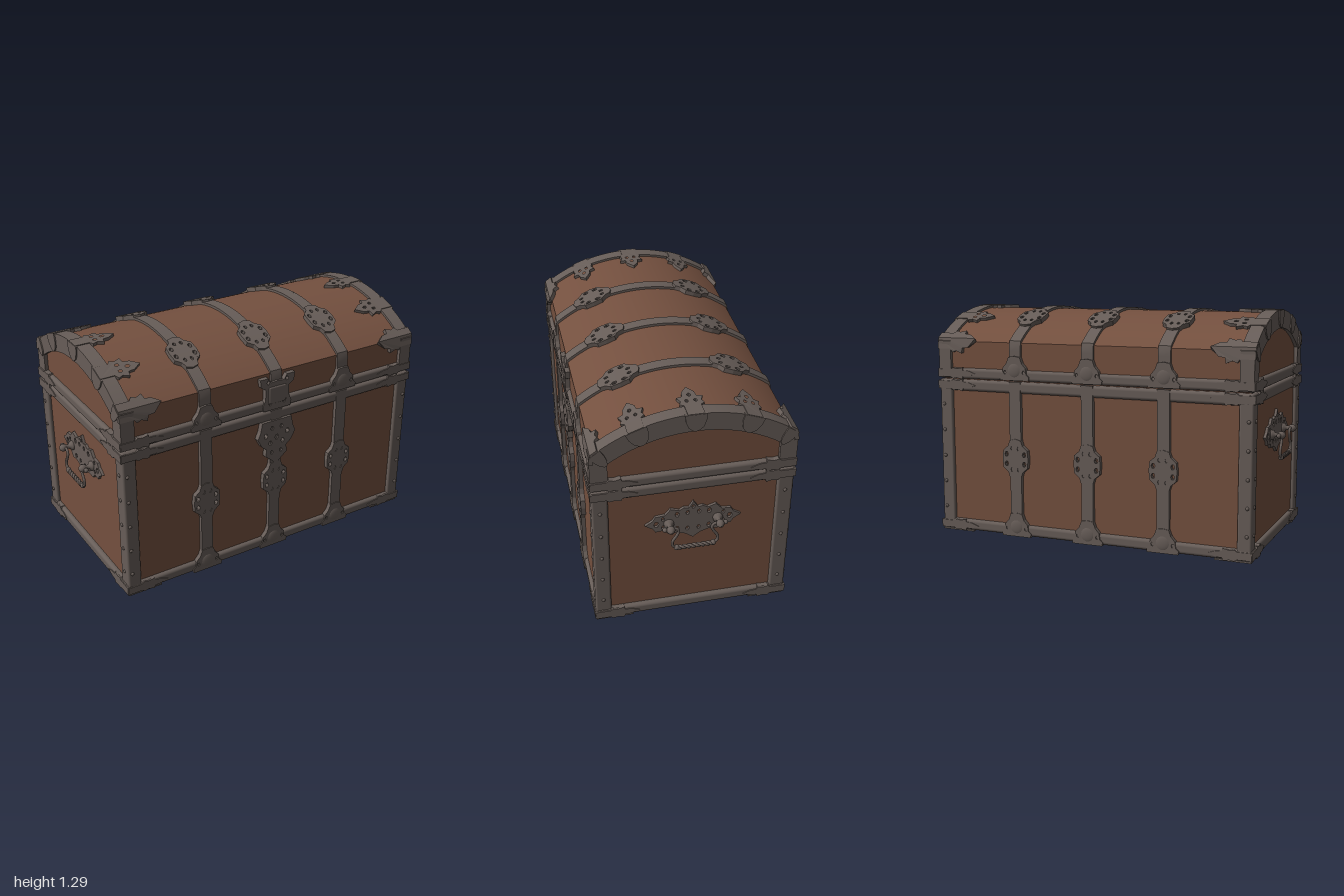
import * as THREE from 'three';
import { toCreasedNormals } from 'three/addons/utils/BufferGeometryUtils.js';
import { RoundedBoxGeometry } from 'three/addons/geometries/RoundedBoxGeometry.js';

const wood = new THREE.MeshStandardMaterial({ color: 0x74503f });
wood.name = 'brown wood';
const iron = new THREE.MeshStandardMaterial({ color: 0x675d58 });
iron.name = 'grey iron';

// Chest profile: a vertical side up to SHOULDER, then an arc of radius R around height CY
const DEPTH = 0.51, R = 0.84, CY = 0.433, SHOULDER = 1.1;
const A1 = Math.asin(DEPTH / R);
const TOP = SHOULDER + R * A1;
const arcS = (a) => SHOULDER + R * (A1 - a);

function add(parent, name, geo, mat = iron, x = 0, y = 0, z = 0) {
  const m = new THREE.Mesh(geo, mat);
  m.name = name;
  m.position.set(x, y, z);
  parent.add(m);
  return m;
}

// Wrap (x, distance along profile, height above surface) onto the front and lid
function bend(geo) {
  const p = geo.attributes.position;
  for (let i = 0; i < p.count; i++) {
    const s = p.getY(i), h = p.getZ(i);
    if (s <= SHOULDER) p.setXYZ(i, p.getX(i), s, DEPTH + h);
    else {
      const a = A1 - (s - SHOULDER) / R;
      p.setXYZ(i, p.getX(i), CY + (R + h) * Math.cos(a), (R + h) * Math.sin(a));
    }
  }
  geo.computeVertexNormals();
  return geo;
}

// Plate between heights h0 and h1, with outline points placed by map
function slab(outline, holes, h0, h1, map) {
  const v = ([x, y]) => new THREE.Vector2(...map(x, y));
  const shape = new THREE.Shape(outline.map(v));
  for (const ring of holes) shape.holes.push(new THREE.Path(ring.map(v)));
  const g = new THREE.ExtrudeGeometry(shape, { depth: h1 - h0, bevelEnabled: false });
  return g.translate(0, 0, h0);
}

// Symmetric plate from half an outline, with small six-sided piercings [x, y, r]
function plate(half, piercings, h0, h1, map = (x, y) => [x, y]) {
  const other = half.filter(([x]) => x > 0).reverse().map(([x, y]) => [-x, y]);
  const holes = [];
  for (const [hx, hy, r] of piercings) for (const sx of hx ? [1, -1] : [1]) {
    holes.push([0, 1, 2, 3, 4, 5].map((i) => {
      const a = i * Math.PI / 3;
      return [sx * hx + r * Math.cos(a), hy + 1.4 * r * Math.sin(a)];
    }));
  }
  return slab([...half, ...other], holes, h0, h1, map);
}

// Half outlines
const LEAF = [[0.042, 0], [0.042, 0.08], [0.062, 0.095], [0.052, 0.12], [0.066, 0.155], [0.036, 0.16], [0.032, 0.195], [0, 0.24]];
const MEDAL = [[0, 0.115], [0.035, 0.105], [0.045, 0.075], [0.075, 0.05], [0.08, 0], [0.075, -0.05], [0.045, -0.075], [0.035, -0.105], [0, -0.115]];
const FOOT = [[0, 0.14], [0.035, 0.135], [0.048, 0.1], [0.07, 0.075], [0.075, 0.04], [0.092, 0.025], [0.088, 0.004], [0, 0.004]];
const LOCK = [[0, 0.825], [0.095, 0.825], [0.105, 0.77], [0.122, 0.73], [0.095, 0.68], [0.065, 0.655], [0.068, 0.61], [0.035, 0.585], [0, 0.55]];
const HASP = [[0, 1.06], [0.04, 1.055], [0.06, 1.085], [0.11, 1.085], [0.105, 1.04], [0.075, 1.02], [0.075, 0.96], [0.092, 0.92], [0.085, 0.892], [0, 0.892]];
const CLAW = [[0, 0], [0.056, 0], [0.052, -0.04], [0.038, -0.075], [0.015, -0.095], [0, -0.098]];
const ESCUTCHEON = [[0, 0.125], [0.025, 0.085], [0.05, 0.09], [0.075, 0.075], [0.12, 0.09], [0.15, 0.055], [0.2, 0.05], [0.215, 0.025], [0.255, 0],
  [0.215, -0.025], [0.2, -0.05], [0.155, -0.045], [0.13, -0.075], [0.085, -0.07], [0.04, -0.085], [0, -0.115]];

const rivetGeo = new THREE.SphereGeometry(0.01, 10, 8).scale(1, 1, 0.8);
const LEAF_HOLES = [[0.022, 0.12, 0.009], [0, 0.17, 0.01]];

function bands(g) {
  // Half-round rims round the foot, the body mouth and the lid mouth
  for (const [name, y0, y1] of [['footRim', 0.008, 0.07], ['bodyRim', 0.82, 0.885], ['lidRim', 0.889, 0.95]]) {
    const h = y1 - y0, y = (y0 + y1) / 2;
    for (const s of [1, -1]) {
      add(g, name, new RoundedBoxGeometry(1.86, h, 0.06, 4, 0.018), iron, 0, y, s * 0.5);
      add(g, name, new RoundedBoxGeometry(0.06, h, 1.06, 4, 0.018), iron, s * 0.9, y, 0);
    }
  }
  // Corner posts and plates under the base
  for (const sx of [1, -1]) for (const sz of [1, -1]) {
    add(g, 'cornerPost', new RoundedBoxGeometry(0.078, 0.82, 0.086, 3, 0.012), iron, sx * 0.886, 0.43, sz * 0.485);
    const c = new THREE.Shape();
    c.moveTo(0, 0);
    c.lineTo(0.2, 0);
    c.quadraticCurveTo(0.2, 0.06, 0.15, 0.1);
    c.quadraticCurveTo(0.14, 0.14, 0.1, 0.15);
    c.quadraticCurveTo(0.06, 0.2, 0, 0.2);
    const geo = new THREE.ExtrudeGeometry(c, { depth: 0.009, bevelEnabled: false, curveSegments: 6 });
    geo.rotateX(Math.PI / 2).rotateY(sx > 0 ? (sz > 0 ? Math.PI : -Math.PI / 2) : (sz > 0 ? Math.PI / 2 : 0));
    add(g, 'baseCornerPlate', geo, iron, sx * 0.925, 0.009, sz * 0.525);
  }
}

function face(g, isFront) {
  // Straps running from the foot over the lid, with pierced ornaments
  for (const x of [-0.44, 0, 0.44]) {
    for (const [s0, s1, h] of [[0.003, 0.885, 0.022], [0.889, TOP + 0.001, 0.014]]) {
      const strap = new THREE.BoxGeometry(0.07, s1 - s0, h, 1, 32, 1).translate(x, (s0 + s1) / 2, h / 2);
      add(g, 'strap', toCreasedNormals(bend(strap), 0.7));
    }
    const at = (dy) => (px, py) => [x + px, dy + py];
    const medalHoles = [[0.055, 0.027, 0.011], [0.055, -0.027, 0.011], [0.02, 0.06, 0.009], [0.02, -0.06, 0.009]];
    for (const s of [0.45, arcS(0.355)]) {
      add(g, 'strapOrnament', bend(plate(MEDAL, medalHoles, 0, 0.026, at(s))));
    }
    const footHoles = [[0.058, 0.05, 0.008]];
    add(g, 'strapFoot', bend(plate(FOOT, footHoles, 0, 0.026, at(0))));
    const bossGeo = new THREE.SphereGeometry(0.045, 16, 10).scale(1, 1, 0.25);
    add(g, 'footBoss', bossGeo, iron, x, 0.06, 0.53);
    if (x === 0 && isFront) {
      const lockHoles = [[0.07, 0.74, 0.012], [0.03, 0.78, 0.01], [0.04, 0.69, 0.011], [0.03, 0.63, 0.009], [0, 0.72, 0.012]];
      add(g, 'lockPlate', bend(plate(LOCK, lockHoles, 0, 0.03)));
      add(g, 'hasp', bend(plate(HASP, [[0.045, 0.93, 0.008], [0.06, 1.06, 0.009]], 0, 0.026)));
      add(g, 'haspBar', new RoundedBoxGeometry(0.11, 0.1, 0.02, 3, 0.008), iron, 0, 0.98, 0.532);
    } else {
      add(g, 'lidOrnament', bend(plate(FOOT, footHoles, 0, 0.026, at(0.889))));
      add(g, 'lidBoss', bossGeo, iron, x, 0.95, 0.53);
    }
  }
  for (const sx of [1, -1]) {
    // Leaf clasps reaching in from the lid ends
    for (const s of isFront ? [arcS(0.355), TOP] : [arcS(0.355)]) {
      add(g, 'lidLeaf', bend(plate(LEAF, LEAF_HOLES, 0, 0.017, (px, py) => [sx * (0.93 - py), s + px])));
    }
    // Leaf folded over the lid shoulder, one half on each side of the fold
    for (const up of [1, -1]) {
      add(g, 'shoulderLeaf', bend(slab([[0, 0], ...LEAF], [], 0, 0.024, (px, py) => [sx * (0.93 - py), SHOULDER + up * px])));
    }
    // Smaller leaves on the rims, rivets on the posts
    for (const y of [0.036, 0.853, 0.92]) {
      add(g, 'rimLeaf', plate(LEAF, [], 0.505, 0.534, (px, py) => [sx * (0.93 - py), y + px * 0.5]));
    }
    for (let i = 0; i < 5; i++) add(g, 'rivet', rivetGeo, iron, sx * 0.9, 0.14 + i * 0.15, 0.528);
  }
}

// Built facing +z, then turned to the chest end
function end(g) {
  // Claws folded over the arched lid frame
  for (const a of [-0.63, -0.355, 0, 0.355, 0.63]) {
    const claw = add(g, 'lidClaw', plate(CLAW, [], 0.915, 0.932, (x, y) => [x * (Math.abs(a) > 0.5 ? 0.6 : 1), y + 0.853]), iron, 0, CY, 0);
    claw.rotation.z = a;
  }
  for (const s of [1, -1]) {
    for (const y of [0.036, 0.853, 0.92]) {
      add(g, 'rimLeaf', plate(LEAF, [], 0.9, 0.934, (px, py) => [s * (0.53 - py), y + px * 0.55]));
    }
    for (let i = 0; i < 5; i++) add(g, 'rivet', rivetGeo, iron, s * 0.485, 0.14 + i * 0.15, 0.925);
  }
  // Pierced plate behind the handle
  const holes = [[0.195, 0, 0.014], [0.16, 0.03, 0.009], [0.16, -0.025, 0.009], [0.085, 0.05, 0.012], [0.085, -0.045, 0.012], [0.03, 0.055, 0.01], [0.03, -0.05, 0.01], [0, 0.09, 0.009]];
  add(g, 'handlePlate', plate(ESCUTCHEON, holes, 0.9, 0.92), iron, 0, 0.615, 0);
  // Turned knobs
  const knob = [[0.027, 0], [0.027, 0.012], [0.012, 0.02], [0.012, 0.035], [0.02, 0.045], [0.022, 0.06], [0.014, 0.073], [0, 0.08]]
    .map(([x, y]) => new THREE.Vector2(x, y));
  const knobGeo = new THREE.LatheGeometry(knob, 16).rotateX(Math.PI / 2);
  for (const s of [1, -1]) {
    add(g, 'handleKnob', knobGeo, iron, s * 0.13, 0.615, 0.92);
    add(g, 'handleFinial', new THREE.SphereGeometry(0.013, 12, 8), iron, s * 0.16, 0.615, 0.968);
    const arm = new THREE.CatmullRomCurve3([[0.16, 0.615], [0.1, 0.615], [0.088, 0.595], [0.1, 0.565], [0.12, 0.53], [0.117, 0.5], [0.098, 0.487]]
      .map(([x, y]) => new THREE.Vector3(s * x, y, 0.968)));
    add(g, 'handleArm', new THREE.TubeGeometry(arm, 28, 0.008, 8));
    add(g, 'handleCollar', new THREE.SphereGeometry(0.015, 12, 8), iron, s * 0.098, 0.487, 0.968);
  }
  // Twisted grip of two strands
  for (const phase of [0, Math.PI]) {
    const pts = [];
    for (let i = 0; i <= 48; i++) {
      const t = i / 48, a = t * Math.PI * 8 + phase;
      pts.push(new THREE.Vector3(-0.1 + 0.2 * t, 0.484 + 0.006 * Math.cos(a), 0.968 + 0.006 * Math.sin(a)));
    }
    add(g, 'handleGrip', new THREE.TubeGeometry(new THREE.CatmullRomCurve3(pts), 72, 0.008, 7));
  }
}

export function createModel() {
  const chest = new THREE.Group();
  chest.name = 'chest';

  // Wooden body and barrel lid
  add(chest, 'body', new THREE.BoxGeometry(1.81, 0.88, DEPTH * 2), wood, 0, 0.446, 0);
  const lid = new THREE.Shape();
  lid.moveTo(-DEPTH, 0.887);
  lid.lineTo(DEPTH, 0.887);
  lid.lineTo(DEPTH, SHOULDER);
  lid.absarc(0, CY, R, Math.PI / 2 - A1, Math.PI / 2 + A1, false);
  const lidGeo = new THREE.ExtrudeGeometry(lid, { depth: 1.81, bevelEnabled: false, curveSegments: 40 });
  lidGeo.translate(0, 0, -0.905).rotateY(Math.PI / 2);
  add(chest, 'lid', toCreasedNormals(lidGeo, 0.9), wood);

  // Arched iron frames at both lid ends
  const ro = 0.853, ao = Math.asin(0.53 / ro), ri = 0.784, ai = Math.asin(0.44 / ri);
  const arch = new THREE.Shape();
  arch.moveTo(0.44, 0.9);
  arch.lineTo(0.53, 0.9);
  arch.absarc(0, CY, ro, Math.PI / 2 - ao, Math.PI / 2 + ao, false);
  arch.lineTo(-0.53, 0.9);
  arch.lineTo(-0.44, 0.9);
  arch.absarc(0, 0.401, ri, Math.PI / 2 + ai, Math.PI / 2 - ai, true);
  for (const s of [1, -1]) {
    const geo = new THREE.ExtrudeGeometry(arch, { depth: 0.076, bevelEnabled: false, curveSegments: 32 });
    geo.translate(0, 0, -0.038).rotateY(Math.PI / 2);
    add(chest, 'lidEndFrame', toCreasedNormals(geo, 0.4), iron, s * 0.887, 0, 0);
  }

  bands(chest);

  // Ironwork on the four sides
  ['frontIronwork', 'leftIronwork', 'backIronwork', 'rightIronwork'].forEach((name, i) => {
    const g = new THREE.Group();
    g.name = name;
    if (i % 2) end(g);
    else face(g, i === 0);
    g.rotation.y = i * Math.PI / 2;
    chest.add(g);
  });
  return chest;
}
